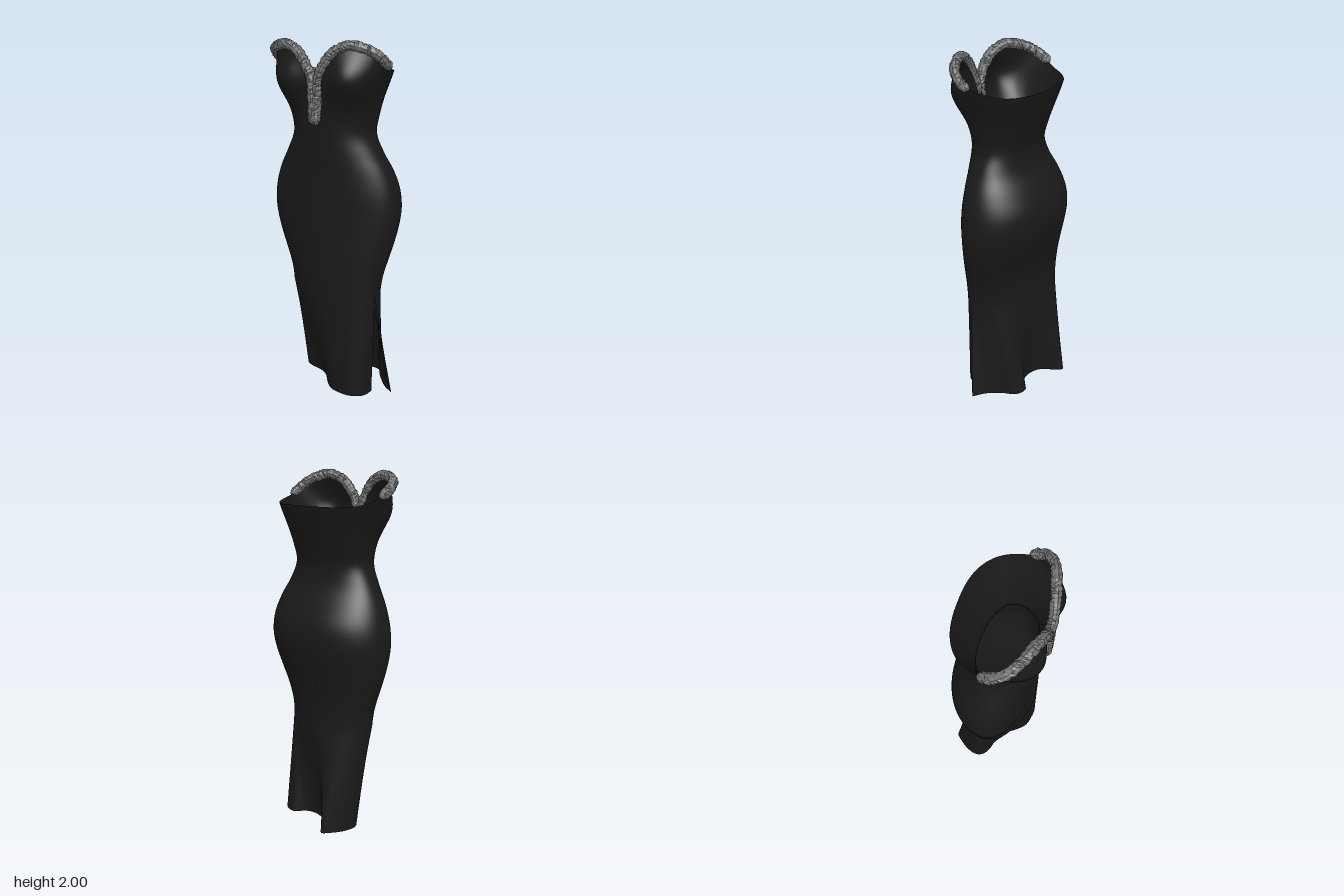
import * as THREE from 'three';
import { mergeVertices } from 'three/addons/utils/BufferGeometryUtils.js';

const fabric = new THREE.MeshStandardMaterial({ color: 0x191919, side: THREE.DoubleSide });
fabric.name = 'black fabric';
const fur = new THREE.MeshStandardMaterial({ color: 0x717171, flatShading: true });
fur.name = 'grey trim';

// Smooth lookup in an evenly spaced table
function sample(table, t) {
  const n = table.length - 1;
  t = THREE.MathUtils.clamp(t, 0, n);
  const i = Math.min(Math.floor(t), n - 1), f = t - i;
  const p = k => table[THREE.MathUtils.clamp(k, 0, n)];
  const a = p(i - 1), b = p(i), c = p(i + 1), d = p(i + 2);
  return b + 0.5 * f * (c - a + f * (2 * a - 5 * b + 4 * c - d + f * (3 * (b - c) + d - a)));
}

// Body outline for every 0.1 of height from 0.6 to 2.0
const halfWidth = [.297, .31, .335, .36, .378, .385, .372, .338, .285, .241, .25, .272, .305, .337, .35];
const frontZ = [.19, .19, .19, .19, .19, .19, .19, .19, .195, .2, .205, .215, .222, .218, .205];
const backZ = [-.18, -.18, -.19, -.212, -.238, -.255, -.245, -.198, -.137, -.122, -.146, -.178, -.21, -.235, -.25];
// Neckline height for every 15 degrees from front centre to back centre, on each side
const necklineLeft = [1.80, 1.925, 1.972, 1.957, 1.925, 1.88, 1.855, 1.84, 1.83, 1.825, 1.825, 1.825, 1.825];
const necklineRight = [1.80, 1.925, 1.97, 1.965, 1.945, 1.915, 1.882, 1.85, 1.835, 1.825, 1.825, 1.825, 1.825];
// Draped hem (x, z) every 15 degrees, from the side slit round the front and back
const hem = [[.27, .07], [.265, .12], [.24, .16], [.18, .187], [.11, .182], [.05, .163], [0, .115], [-.04, .06],
  [-.08, .02], [-.13, -.005], [-.19, -.02], [-.24, -.05], [-.26, -.1], [-.24, -.17], [-.195, -.235], [-.16, -.266],
  [-.128, -.235], [-.07, -.15], [.01, -.12], [.08, -.135], [.14, -.19], [.21, -.17], [.255, -.09], [.31, -.02], [.38, .03]];
const hemX = hem.map(p => p[0]), hemZ = hem.map(p => p[1]);
const SLIT = 10, SLIT_TOP = 0.6;

function topY(deg) {
  const a = Math.abs(deg - 90);
  const table = deg > 90 && deg < 270 ? necklineRight : necklineLeft;
  return sample(table, (a > 180 ? 360 - a : a) / 15);
}

function bodyPoint(deg, y) {
  const c = Math.cos(deg * Math.PI / 180), s = Math.sin(deg * Math.PI / 180);
  const t = (y - 0.6) * 10, zc = 0.015;
  const knee = 1 - THREE.MathUtils.smoothstep(y, 0.6, 1.1);
  // roundness of the section: squarer at the bust and upper back
  const chest = s > 0 ? 0.8 * Math.exp(-(((y - 1.77) / 0.1) ** 2)) : 0.28 * THREE.MathUtils.smoothstep(y, 1.5, 1.8);
  const p = 2.17 - 0.17 * knee + chest;
  const r = Math.pow(Math.abs(c) ** p + Math.abs(s) ** p, -1 / p);
  const depth = s > 0 ? sample(frontZ, t) - zc : zc - sample(backZ, t);
  let x = sample(halfWidth, t) * c * r, z = zc + depth * s * r + 0.045 * knee * c;
  // bust
  if (s > 0) z += 0.057 * Math.min(1, 1.8 * s) * Math.exp(-(((Math.abs(x) - 0.19) / 0.125) ** 2) - ((y - 1.8) / 0.13) ** 2);
  // skirt drape below the slit
  if (y < SLIT_TOP) {
    const w = Math.pow(1 - y / SLIT_TOP, 1.05), k = (deg - SLIT) / 15;
    x += (sample(hemX, k) - x) * w;
    z += (sample(hemZ, k) - z) * w;
  }
  return new THREE.Vector3(x, y, z);
}

// Shell of the dress, moved inwards by the given thickness except at its edges
function makeShell(name, thickness) {
  const U = 180, V = 100, pos = [], inset = [], index = [];
  for (let j = 0; j <= V; j++) {
    for (let i = 0; i <= U; i++) {
      const deg = SLIT + 360 * i / U;
      pos.push(...bodyPoint(deg, topY(deg) * j / V).toArray());
      inset.push(thickness * Math.min(1, j / 2, (V - j) / 2));
      if (i < U && j < V) {
        const a = j * (U + 1) + i, b = a + 1, c = a + U + 1, d = c + 1;
        index.push(a, c, b, b, c, d);
      }
    }
  }
  let g = new THREE.BufferGeometry();
  g.setAttribute('position', new THREE.Float32BufferAttribute(pos, 3));
  g.setAttribute('inset', new THREE.Float32BufferAttribute(inset, 1));
  g.setIndex(index);
  g = mergeVertices(g, 1e-5);
  g.computeVertexNormals();
  const { position, normal, inset: depth } = g.attributes;
  for (let n = 0; n < position.count; n++) {
    const d = depth.getX(n);
    position.setXYZ(n, position.getX(n) - normal.getX(n) * d, position.getY(n) - normal.getY(n) * d,
      position.getZ(n) - normal.getZ(n) * d);
  }
  g.deleteAttribute('inset');
  const mesh = new THREE.Mesh(g, fabric);
  mesh.name = name;
  return mesh;
}

// Seeded random numbers for the rough trim
let seed = 7;
function random() {
  seed = (seed * 16807) % 2147483647;
  return seed / 2147483647;
}

// Rough trim along one cup, then down the centre front
function makeTrim(side, reach, radius) {
  const path = [];
  for (let a = reach; a >= 8; a -= 8) {
    const deg = 90 - side * a;
    const p = bodyPoint(deg, topY(deg));
    p.x *= 1.02;
    p.z += 0.006;
    path.push(p);
  }
  for (const [x, y] of [[.018, 1.8], [.014, 1.72], [.01, 1.64], [.004, 1.56]]) {
    path.push(new THREE.Vector3(side * x, y, 0.236));
  }
  const curve = new THREE.CatmullRomCurve3(path);
  const segs = 80, sides = 10;
  const g = new THREE.TubeGeometry(curve, segs, radius, sides);
  const pos = g.attributes.position, v = new THREE.Vector3();
  for (let i = 0; i <= segs; i++) {
    const centre = curve.getPointAt(i / segs);
    const end = Math.min(1, Math.sqrt(Math.min(i, segs - i) / 3));
    let first = 1;
    for (let j = 0; j <= sides; j++) {
      let k = 0.84 + 0.28 * random();
      if (j === 0) first = k;
      if (j === sides) k = first;
      const n = i * (sides + 1) + j;
      v.fromBufferAttribute(pos, n).sub(centre).multiplyScalar(k * end).add(centre);
      pos.setXYZ(n, v.x, v.y, v.z);
    }
  }
  g.computeVertexNormals();
  const mesh = new THREE.Mesh(g, fur);
  mesh.name = side > 0 ? 'leftTrim' : 'rightTrim';
  return mesh;
}

export function createModel() {
  const group = new THREE.Group();
  group.name = 'strapless gown';
  group.add(makeShell('dress', 0), makeShell('lining', 0.011));
  group.add(makeTrim(1, 88, 0.026), makeTrim(-1, 96, 0.028));
  return group;
}
